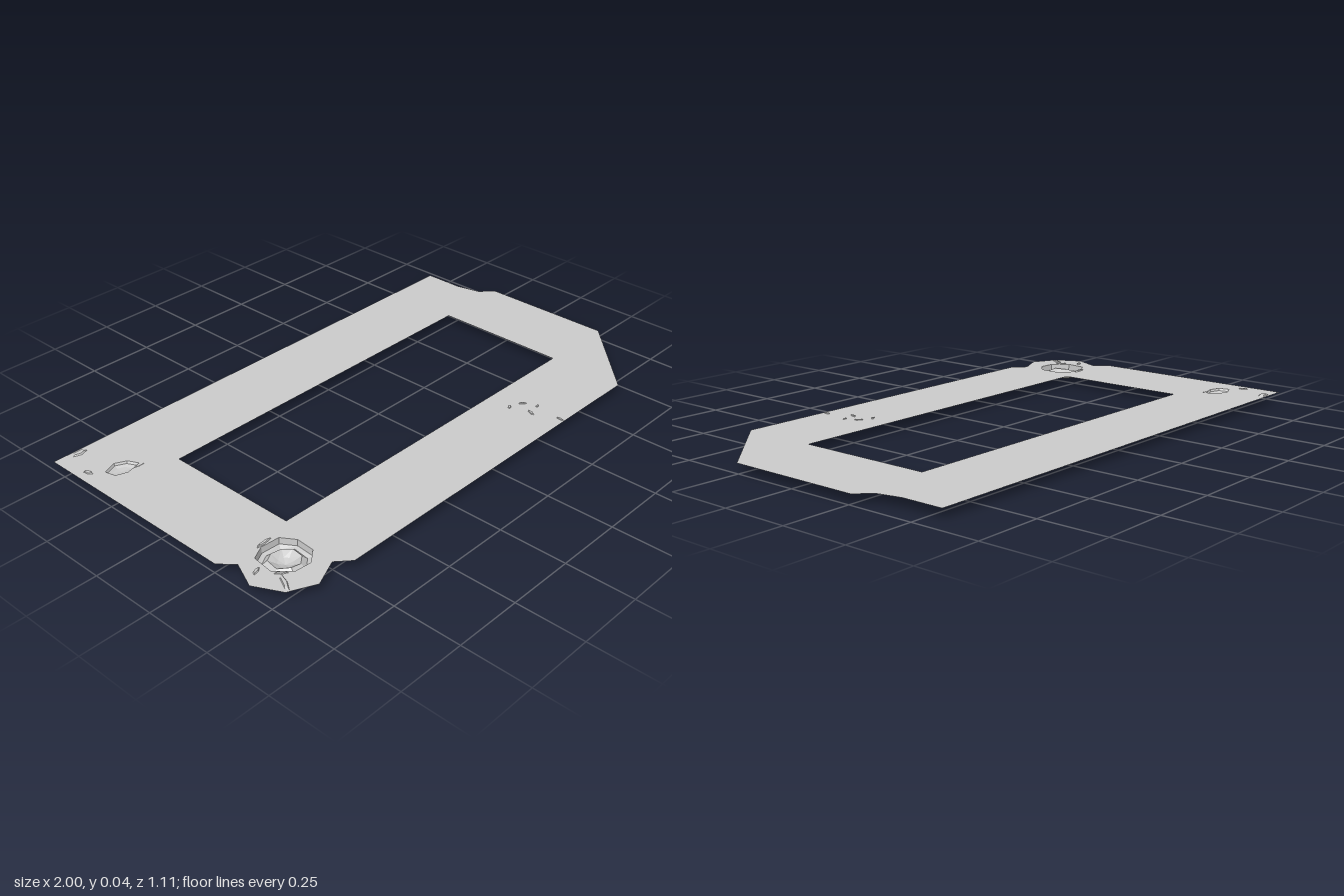
import * as THREE from 'three';

const SHEET_Y = 0.035;
const material = new THREE.MeshStandardMaterial({ color: 0xcccccc, flatShading: true, side: THREE.DoubleSide });

// Plan outlines are lists of [x, z]; shapes are drawn with y = -z, then laid flat
const toPath = (points, PathType) => new PathType(points.map(([x, z]) => new THREE.Vector2(x, -z)));

function addMesh(parent, name, geometry) {
  const mesh = new THREE.Mesh(geometry, material);
  mesh.name = name;
  parent.add(mesh);
}

// Faceted hollow: outline rings stepping down, closed by a centre point
function pitGeometry(outline, [cx, cz], rings, centreY) {
  const n = outline.length, positions = [], index = [];
  rings.forEach(([scale, y, jitter = 0]) => outline.forEach(([x, z], i) => positions.push(
    cx + (x - cx) * scale, y + jitter * Math.sin(i * 2.4), cz + (z - cz) * scale)));
  positions.push(cx, centreY, cz);
  const centre = rings.length * n;
  for (let i = 0; i < n; i++) {
    const j = (i + 1) % n;
    for (let r = 0; r < rings.length - 1; r++) {
      const a = r * n + i, b = r * n + j;
      index.push(a, b, a + n, b, b + n, a + n);
    }
    index.push(centre - n + i, centre - n + j, centre);
  }
  const geometry = new THREE.BufferGeometry();
  geometry.setAttribute('position', new THREE.Float32BufferAttribute(positions, 3));
  geometry.setIndex(index);
  geometry.computeVertexNormals();
  return geometry;
}

// Small thin chip lying on the sheet: [x, z, length, width, turn, y]
function addChips(parent, name, chips) {
  chips.forEach(([x, z, length, width, turn, y]) => {
    const geometry = new THREE.CylinderGeometry(0.35, 0.5, 1, 5);
    geometry.scale(length, 0.004, width).rotateY(turn).translate(x, y, z);
    addMesh(parent, name, geometry);
  });
}

export function createModel() {
  const model = new THREE.Group();

  const outer = [[-1, -0.555], [0.93, -0.555], [0.93, -0.4], [0.95, -0.31], [1, -0.26], [1, 0.255],
    [0.7, 0.55], [-0.705, 0.55], [-0.755, 0.505], [-0.855, 0.55], [-0.95, 0.505], [-1, 0.405],
    [-0.955, 0.305], [-1, 0.255]];
  const opening = [[-0.705, -0.26], [0.7, -0.26], [0.7, 0.255], [-0.705, 0.255]];
  const crater = [[-0.9, 0.32], [-0.85, 0.295], [-0.78, 0.3], [-0.748, 0.35], [-0.752, 0.42],
    [-0.8, 0.46], [-0.86, 0.455], [-0.91, 0.4]];
  const dent = [[-0.92, -0.38], [-0.87, -0.4], [-0.83, -0.38], [-0.81, -0.34], [-0.87, -0.325], [-0.91, -0.34]];

  // Flat frame with the central opening and the broken areas cut out
  const shape = toPath(outer, THREE.Shape);
  shape.holes = [opening, crater, dent].map((points) => toPath(points, THREE.Path));
  addMesh(model, 'frameSheet', new THREE.ShapeGeometry(shape).rotateX(-Math.PI / 2).translate(0, SHEET_Y, 0));

  // Deep crater in the front right corner, with a rough floor
  addMesh(model, 'crater', pitGeometry(crater, [-0.83, 0.38],
    [[1, SHEET_Y], [0.98, 0.012], [0.8, 0.006, 0.003], [0.6, 0.022, 0.003], [0.3, 0.008]], 0));

  // Shallow dent in the back right corner
  addMesh(model, 'dent', pitGeometry(dent, [-0.87, -0.36], [[1, SHEET_Y], [0.9, 0.027], [0.6, 0.022]], 0.02));

  // Loose chips around the damaged spots
  addChips(model, 'craterChip', [
    [-0.92, 0.47, 0.09, 0.018, 1.1, 0.037], [-0.94, 0.37, 0.04, 0.015, 0.4, 0.038],
    [-0.83, 0.285, 0.07, 0.014, 0.1, 0.037], [-0.895, 0.43, 0.05, 0.015, -0.7, 0.036]]);
  addChips(model, 'dentChip', [
    [-0.91, -0.535, 0.06, 0.03, 0, 0.038], [-0.96, -0.42, 0.02, 0.04, 0.3, 0.036],
    [-0.82, -0.33, 0.06, 0.012, -0.1, 0.034], [-0.87, -0.47, 0.08, 0.07, 0.5, 0.031]]);
  addChips(model, 'frontChip', [
    [0.31, 0.35, 0.03, 0.012, 0.6, 0.036], [0.36, 0.37, 0.035, 0.012, -0.8, 0.036],
    [0.33, 0.43, 0.04, 0.014, 1.2, 0.036], [0.38, 0.42, 0.02, 0.01, 0.2, 0.036],
    [0.365, 0.53, 0.035, 0.012, 1.5, 0.036]]);

  return model;
}
